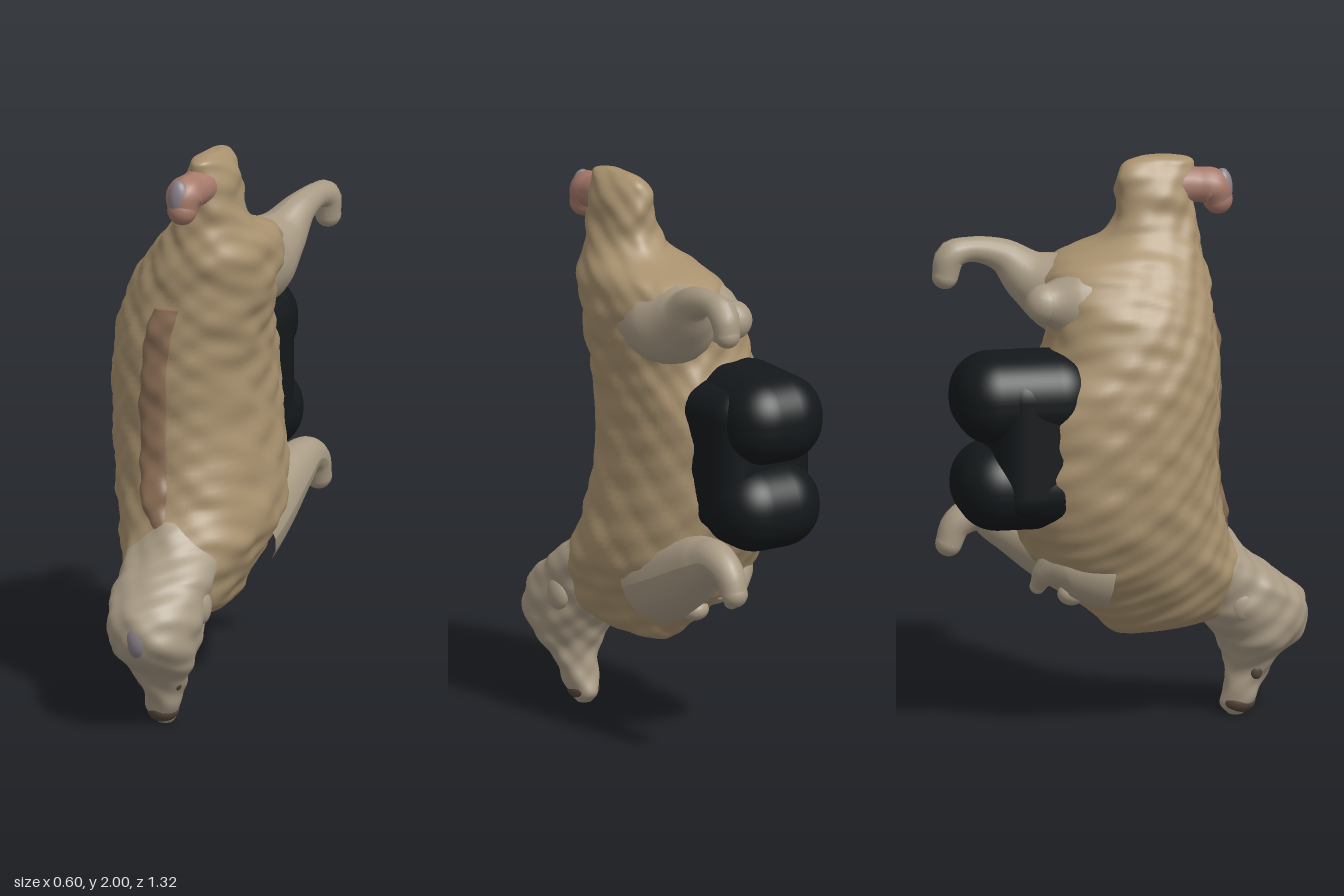
import * as THREE from 'three';
import { RoundedBoxGeometry } from 'three/addons/geometries/RoundedBoxGeometry.js';

const mat = (color) => new THREE.MeshStandardMaterial({ color });
const wool = mat(0xa8916e), pale = mat(0xa89a84), black = mat(0x14181a);
const pink = mat(0xa5796a), brown = mat(0x8d6f56), dark = mat(0x54463a), grey = mat(0x8a8088);

// Smooth interpolation of a table of rows at t in 0..1
function sample(rows, t) {
  const f = t * (rows.length - 1), i = Math.min(Math.floor(f), rows.length - 2), u = f - i;
  const row = (k) => rows[Math.max(0, Math.min(rows.length - 1, k))];
  return row(i).map((b, c) => {
    const a = row(i - 1)[c], d = row(i + 1)[c], e = row(i + 2)[c];
    return b + 0.5 * u * (d - a + u * (2 * a - 5 * b + 4 * d - e + u * (3 * (b - d) + e - a)));
  });
}

// Soft lumps of the fleece
const lumps = (x, y, z) =>
  Math.sin(31 * y + 9 * x) * Math.sin(27 * z + 23 * x + 3) + 0.7 * Math.sin(61 * y - 19 * z) * Math.sin(57 * x + 31 * z);

// Closed skin through horizontal sections: [y, xMin, xMax, zMin, zMax]
function loft(rows, rings, sides, bump, power) {
  const pos = [], index = [];
  const bend = (v) => Math.sign(v) * Math.abs(v) ** (2 / power);
  for (let i = 0; i <= rings; i++) {
    const [y, x0, x1, z0, z1] = sample(rows, i / rings);
    for (let j = 0; j < sides; j++) {
      const a = (j / sides) * Math.PI * 2, c = bend(Math.cos(a)), s = bend(Math.sin(a));
      const x = (x0 + x1) / 2 + (c * (x1 - x0)) / 2, z = (z0 + z1) / 2 + (s * (z1 - z0)) / 2;
      const n = bump * lumps(x, y, z);
      pos.push(x + c * n, y, z + s * n);
    }
  }
  for (let i = 0; i < rings; i++)
    for (let j = 0; j < sides; j++) {
      const a = i * sides + j, b = i * sides + ((j + 1) % sides);
      index.push(a, a + sides, b, b, a + sides, b + sides);
    }
  for (const [k, ring] of [[0, 0], [rows.length - 1, rings]]) {
    const [y, x0, x1, z0, z1] = rows[k], centre = pos.length / 3;
    pos.push((x0 + x1) / 2, y, (z0 + z1) / 2);
    for (let j = 0; j < sides; j++) {
      const a = ring * sides + j, b = ring * sides + ((j + 1) % sides);
      index.push(...(k === 0 ? [a, b, centre] : [b, a, centre]));
    }
  }
  const g = new THREE.BufferGeometry();
  g.setAttribute('position', new THREE.Float32BufferAttribute(pos, 3));
  g.setIndex(index);
  g.computeVertexNormals();
  return g;
}

// Tapered limb through points [x, y, z, radius] with a round tip
function limb(name, points, material) {
  const group = new THREE.Group();
  group.name = name;
  const curve = new THREE.CatmullRomCurve3(points.map((p) => new THREE.Vector3(p[0], p[1], p[2])));
  const g = new THREE.TubeGeometry(curve, 32, 1, 18), p = g.attributes.position, v = new THREE.Vector3();
  for (let i = 0; i < p.count; i++) {
    const u = Math.floor(i / 19) / 32, c = curve.getPointAt(u);
    const r = sample(points, curve.getUtoTmapping(u))[3];
    v.fromBufferAttribute(p, i).sub(c).multiplyScalar(r).add(c);
    p.setXYZ(i, v.x, v.y, v.z);
  }
  g.computeVertexNormals();
  group.add(new THREE.Mesh(g, material));
  const [x, y, z, r] = points[points.length - 1];
  const tip = new THREE.Mesh(new THREE.SphereGeometry(r, 18, 12), material);
  tip.position.set(x, y, z);
  group.add(tip);
  return group;
}

export function createModel() {
  const model = new THREE.Group();
  const add = (name, geometry, material, x = 0, y = 0, z = 0) => {
    const m = new THREE.Mesh(geometry, material);
    m.name = name;
    m.position.set(x, y, z);
    model.add(m);
    return m;
  };
  const ball = (name, material, x, y, z, a, b, c) =>
    add(name, new THREE.SphereGeometry(1, 24, 16), material, x, y, z).scale.set(a, b, c);

  // Trunk, from the chest up to the rump
  add('body', loft([
    [0.325, 0.0, 0.08, -0.03, 0.1],
    [0.345, -0.06, 0.14, -0.07, 0.26],
    [0.39, -0.11, 0.18, -0.11, 0.38],
    [0.46, -0.15, 0.21, -0.19, 0.42],
    [0.55, -0.2, 0.25, -0.28, 0.42],
    [0.65, -0.24, 0.28, -0.36, 0.37],
    [0.8, -0.28, 0.265, -0.42, 0.32],
    [1.0, -0.295, 0.24, -0.43, 0.3],
    [1.2, -0.29, 0.235, -0.4, 0.31],
    [1.35, -0.26, 0.25, -0.3, 0.31],
    [1.48, -0.22, 0.28, -0.28, 0.3],
    [1.58, -0.16, 0.29, -0.29, 0.3],
    [1.66, -0.1, 0.28, -0.23, 0.29],
    [1.72, -0.04, 0.24, -0.07, 0.28],
    [1.79, 0.0, 0.21, -0.01, 0.27],
    [1.88, 0.02, 0.2, -0.01, 0.27],
    [1.95, 0.05, 0.18, 0.005, 0.27],
    [1.98, 0.07, 0.16, 0.03, 0.26],
    [1.995, 0.1, 0.14, 0.08, 0.2],
  ], 162, 96, 0.006, 2.25), wool);

  // Darker line of fleece along the spine
  add('spineStripe', loft([
    [0.66, -0.03, 0.05, 0.26, 0.365],
    [0.75, -0.08, 0.03, 0.24, 0.345],
    [0.95, -0.1, 0.02, 0.22, 0.31],
    [1.15, -0.1, 0.02, 0.22, 0.317],
    [1.35, -0.08, 0.04, 0.22, 0.32],
    [1.45, -0.04, 0.06, 0.25, 0.312],
  ], 80, 32, 0.005, 2.8), brown);

  // Head hanging down, narrowing to the muzzle
  add('head', loft([
    [0.0, 0.02, 0.07, 0.38, 0.43],
    [0.04, 0.0, 0.1, 0.36, 0.475],
    [0.12, -0.02, 0.12, 0.365, 0.5],
    [0.2, -0.05, 0.16, 0.37, 0.55],
    [0.27, -0.1, 0.19, 0.34, 0.63],
    [0.35, -0.12, 0.2, 0.28, 0.66],
    [0.43, -0.13, 0.2, 0.23, 0.635],
    [0.5, -0.13, 0.2, 0.2, 0.555],
    [0.57, -0.13, 0.2, 0.15, 0.46],
    [0.63, -0.11, 0.17, 0.1, 0.4],
    [0.7, -0.07, 0.13, 0.1, 0.35],
  ], 80, 64, 0.006, 2.1), pale);
  ball('crownPatch', grey, 0.04, 0.345, 0.615, 0.05, 0.07, 0.05);
  ball('muzzle', dark, 0.045, 0.045, 0.415, 0.055, 0.042, 0.06);
  for (const side of [-1, 1]) {
    ball('eye', dark, 0.05 + side * 0.068, 0.16, 0.46, 0.016, 0.028, 0.022);
    ball('ear', pale, 0.04 + side * 0.14, 0.42, 0.39, 0.03, 0.06, 0.05);
  }

  // Tail curling forward off the rump
  model.add(limb('tail', [
    [0.11, 1.89, 0.2, 0.07], [0.1, 1.885, 0.28, 0.062],
    [0.09, 1.875, 0.335, 0.065], [0.09, 1.83, 0.355, 0.052],
  ], pink));
  ball('tailTip', grey, 0.085, 1.87, 0.37, 0.04, 0.07, 0.035);

  // Legs: long pair on one side, short folded pair on the other
  model.add(limb('hindLeg', [
    [0.11, 1.53, -0.06, 0.17], [0.14, 1.53, -0.19, 0.155], [0.18, 1.58, -0.3, 0.1],
    [0.215, 1.655, -0.39, 0.06], [0.235, 1.68, -0.5, 0.044],
    [0.24, 1.66, -0.57, 0.052], [0.24, 1.59, -0.59, 0.046],
  ], pale));
  model.add(limb('foldedHindLeg', [
    [0.0, 1.51, -0.08, 0.15], [-0.01, 1.52, -0.22, 0.12], [-0.02, 1.53, -0.31, 0.07],
  ], pale));
  model.add(limb('foreLeg', [
    [0.11, 0.57, -0.08, 0.16], [0.14, 0.64, -0.24, 0.135], [0.18, 0.715, -0.4, 0.09],
    [0.2, 0.745, -0.49, 0.064], [0.205, 0.71, -0.56, 0.054], [0.205, 0.645, -0.588, 0.047],
  ], pale));
  model.add(limb('foldedForeLeg', [
    [-0.06, 0.58, -0.1, 0.14], [-0.05, 0.6, -0.25, 0.1], [-0.03, 0.57, -0.31, 0.05], [0, 0.52, -0.33, 0.028],
  ], pale));
  ball('chestTuft', pale, 0.05, 0.47, -0.19, 0.05, 0.04, 0.05);

  // Large black double bulge under the belly
  for (const [name, x, y, w, h, z] of [['upperBulge', -0.045, 1.215, 0.37, 0.31, -0.4], ['lowerBulge', -0.03, 0.9, 0.39, 0.3, -0.39]])
    add(name, new RoundedBoxGeometry(w, h, 0.5, 8, 0.145), black, x, y, z).rotation.y = -0.13;
  add('bulgeBase', new RoundedBoxGeometry(0.4, 0.54, 0.34, 6, 0.1), black, -0.03, 1.06, -0.36);

  return model;
}
